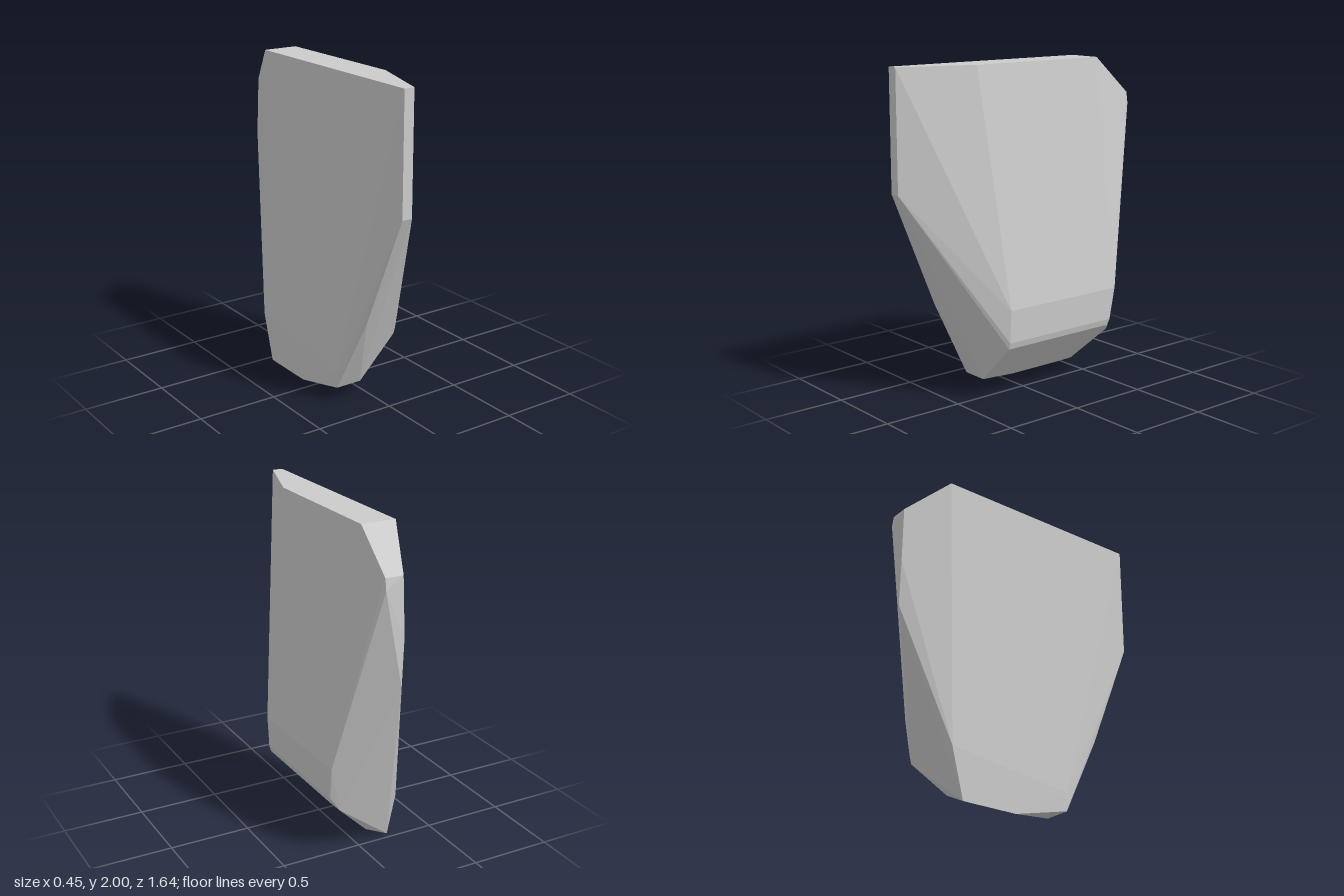
import * as THREE from 'three';
import { ConvexGeometry } from 'three/addons/geometries/ConvexGeometry.js';

export function createModel() {
  const group = new THREE.Group();
  group.name = 'rock';

  // Corner points of the faceted slab, grouped by region
  const corners = [
    // flat top
    [-0.175, 2, 0.82], [-0.11, 2, 0.82], [0.042, 2, 0.37], [0.042, 2, -0.55], [-0.175, 2, -0.55],
    // narrow front strip and its taper
    [-0.175, 1.28, 0.82], [-0.11, 1.28, 0.82], [-0.19, 0.58, 0.525],
    // back ridge
    [-0.07, 1.77, -0.81], [0.042, 1.77, -0.81], [0.042, 1.7, -0.82], [-0.08, 1.42, -0.82], [-0.07, 1.13, -0.82],
    // bulging left side
    [0.222, 0.58, 0.27], [0.222, 0.58, -0.56], [0.212, 0.38, 0.27], [0.212, 0.38, -0.53],
    [0.2, 0.34, 0.27], [0.2, 0.34, -0.51], [0.16, 0.3, -0.55],
    // flat right side
    [-0.225, 0.2, 0.27], [-0.225, 0.3, -0.54],
    // foot
    [-0.05, 0.09, 0.27], [-0.22, 0.09, 0.27], [-0.07, 0.07, -0.1], [-0.07, 0.07, -0.46],
    [-0.22, 0, -0.1], [-0.22, 0, -0.46],
  ].map((p) => new THREE.Vector3(...p));

  const slab = new THREE.Mesh(
    new ConvexGeometry(corners),
    new THREE.MeshStandardMaterial({ color: 0xcccccc, flatShading: true })
  );
  slab.name = 'rockSlab';
  group.add(slab);
  return group;
}
